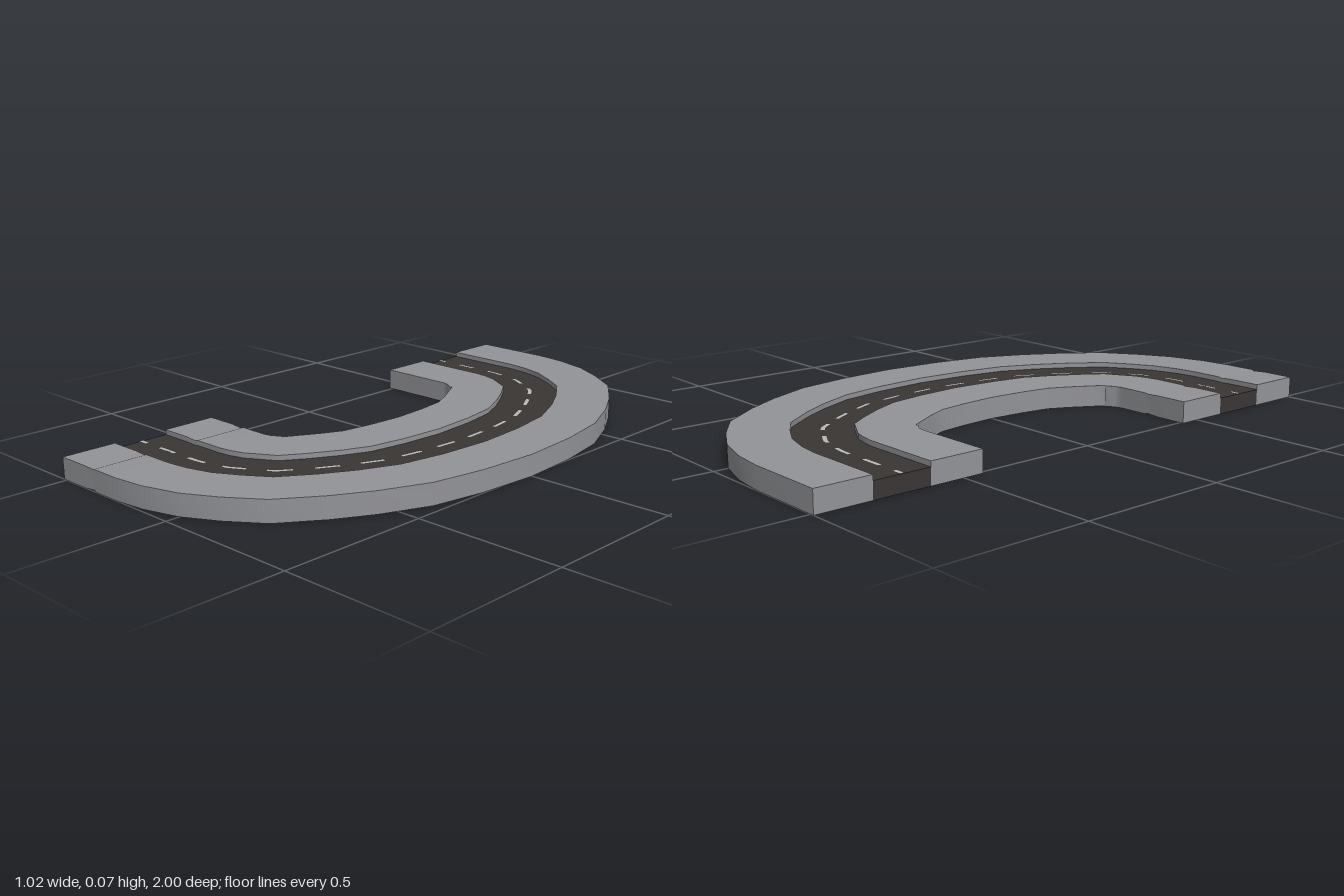
import * as THREE from 'three';

const H = 0.072, ROAD_Y = 0.055, HALF = 0.285, ROAD = 0.0975, END = -0.512;

const mat = (color) => new THREE.MeshStandardMaterial({ color, side: THREE.DoubleSide });

// Stations along the bend: outer-edge x, z and heading angle in degrees
const quarter = [
  [END, -1, 0], [-0.235, -1, 0], [-0.125, -0.988, 10], [0, -0.953, 22], [0.11, -0.894, 31],
  [0.225, -0.813, 45], [0.325, -0.677, 57], [0.395, -0.555, 63], [0.463, -0.397, 73], [0.497, -0.21, 82],
];

function makeStations() {
  const back = quarter.map(([x, z, deg]) => {
    const a = THREE.MathUtils.degToRad(deg), nx = Math.sin(a), nz = -Math.cos(a);
    return { x: x - HALF * nx, z: z - HALF * nz, nx, nz, inset: 0 };
  });
  const front = back.map((s) => ({ ...s, z: -s.z, nz: -s.nz })).reverse();
  const middle = { x: 0.512 - HALF, z: 0, nx: 1, nz: 0, inset: 0 };
  // shallow joint groove across the front leg
  const joint = [[-0.345, 0], [-0.355, 0.01], [-0.4, 0]].map(([x, inset]) =>
    ({ x, z: 1 - HALF, nx: 0, nz: 1, inset }));
  const end = front.pop();
  return [...back, middle, ...front, ...joint, end];
}

// Ribbon swept along the stations between two [offset, height] points
function ribbon(stations, a, b) {
  const pos = [], index = [];
  stations.forEach((s, i) => {
    for (const [off, y] of [a, b]) {
      const o = off * (1 - s.inset);
      pos.push(s.x + s.nx * o, H / 2 + (y - H / 2) * (1 - 8 * s.inset), s.z + s.nz * o);
    }
    if (i) {
      const k = 2 * i - 2;
      index.push(k, k + 2, k + 1, k + 1, k + 2, k + 3);
    }
  });
  const g = new THREE.BufferGeometry();
  g.setAttribute('position', new THREE.Float32BufferAttribute(pos, 3));
  g.setIndex(index);
  g.computeVertexNormals();
  return g;
}

export function createModel() {
  const model = new THREE.Group();
  const stations = makeStations();
  const grey = mat(0x929397), asphalt = mat(0x3a3634), paint = mat(0xb8b8b8);
  const add = (name, geometry, material) => {
    const mesh = new THREE.Mesh(geometry, material);
    mesh.name = name;
    model.add(mesh);
    return mesh;
  };

  // Raised borders, sides and underside
  const sweep = (name, a, b, m = grey) => add(name, ribbon(stations, a, b), m);
  sweep('innerWall', [-HALF, 0], [-HALF, H]);
  sweep('innerBorder', [-HALF, H], [-ROAD, H]);
  sweep('innerKerb', [-ROAD, H], [-ROAD, ROAD_Y]);
  sweep('road', [-ROAD, ROAD_Y], [ROAD, ROAD_Y], asphalt);
  sweep('outerKerb', [ROAD, ROAD_Y], [ROAD, H]);
  sweep('outerBorder', [ROAD, H], [HALF, H]);
  sweep('outerWall', [HALF, H], [HALF, 0]);
  sweep('underside', [HALF, 0], [-HALF, 0]);

  // End faces of both legs
  for (const side of [-1, 1]) {
    const cap = (name, from, to, h, m) => {
      const face = add(name, new THREE.PlaneGeometry(to - from, h), m);
      face.rotation.y = -Math.PI / 2;
      face.position.set(END, h / 2, side * (1 - HALF + (from + to) / 2));
    };
    cap('innerBorderEnd', -HALF, -ROAD, H, grey);
    cap('roadEnd', -ROAD, ROAD, ROAD_Y, asphalt);
    cap('outerBorderEnd', ROAD, HALF, H, grey);
  }

  // Dashed centre line, laid out by distance along the centreline
  const dist = [0];
  for (let i = 1; i < stations.length; i++) {
    const p = stations[i - 1], q = stations[i];
    dist.push(dist[i - 1] + Math.hypot(q.x - p.x, q.z - p.z));
  }
  const length = dist[dist.length - 1];
  const at = (d) => {
    let i = 1;
    while (i < dist.length - 1 && dist[i] < d) i++;
    const p = stations[i - 1], q = stations[i], t = (d - dist[i - 1]) / (dist[i] - dist[i - 1]);
    const mix = (key) => THREE.MathUtils.lerp(p[key], q[key], t);
    const n = new THREE.Vector2(mix('nx'), mix('nz')).normalize();
    return { x: mix('x'), z: mix('z'), nx: n.x, nz: n.y, inset: 0 };
  };
  const count = 18, pitch = (length - 0.28) / 15, dash = 0.08, y = ROAD_Y + 0.002;
  for (let k = 0; k < count; k++) {
    const mid = length / 2 + (k - (count - 1) / 2) * pitch;
    const from = Math.max(0, mid - dash / 2), to = Math.min(length, mid + dash / 2);
    if (to - from < 0.01) continue;
    const steps = [0, 1, 2, 3, 4].map((j) => at(from + ((to - from) * j) / 4));
    add('centreDash', ribbon(steps, [-0.008, y], [0.008, y]), paint);
  }
  return model;
}
